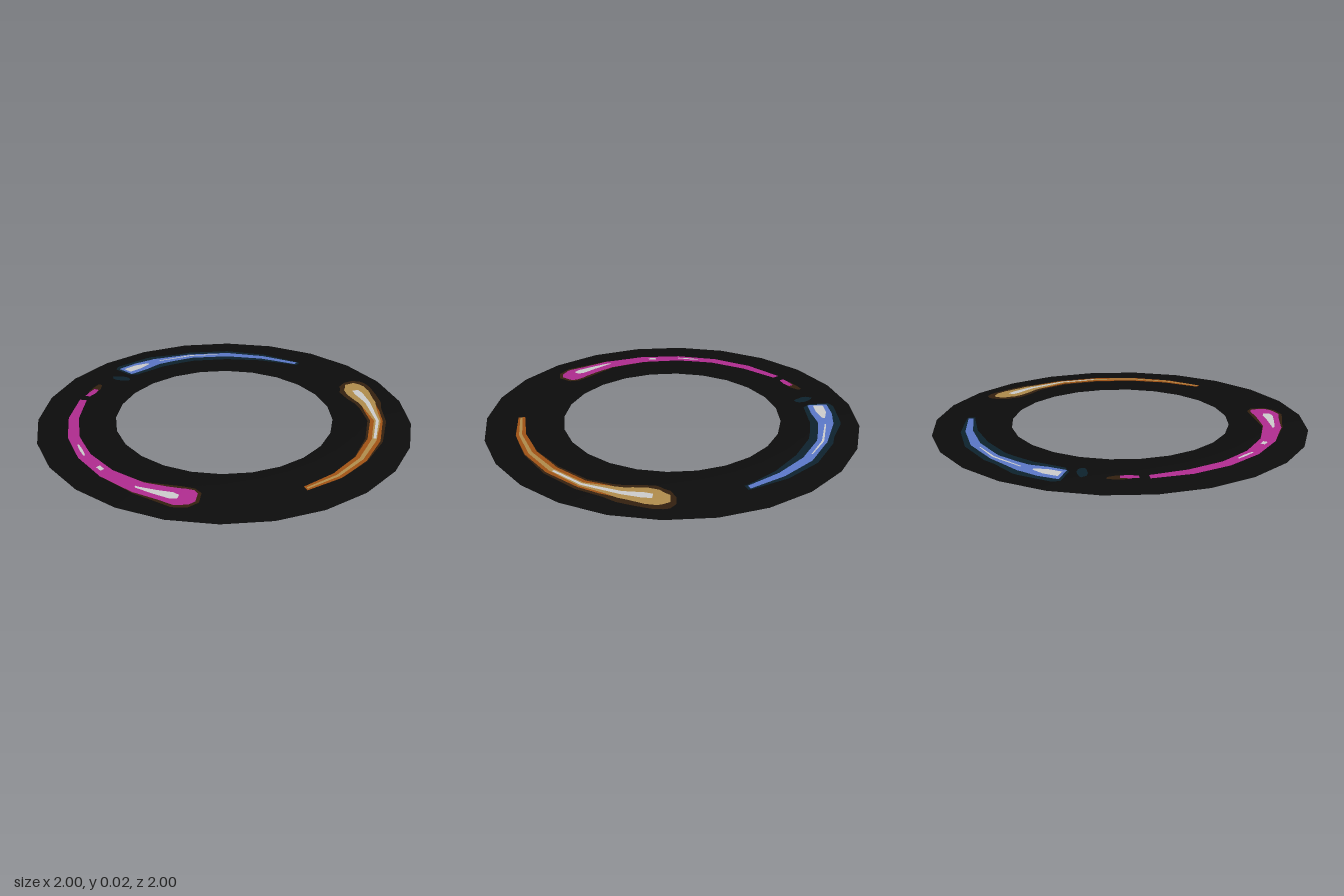
import * as THREE from 'three';

const SIDES = 24;
const STEP = (Math.PI * 2) / SIDES;
// ring cross-section: radius, height
const PROFILE = [[0.58, 0.02], [0.7, 0.018], [0.85, 0.0105], [1, 0]];

function paint(name, color) {
  const m = new THREE.MeshStandardMaterial({ color, side: THREE.DoubleSide });
  m.name = name;
  return m;
}

// linear interpolation through rows of [key, values...]
function sample(rows, t) {
  let i = 0;
  while (i < rows.length - 2 && t > rows[i + 1][0]) i++;
  const [a, b] = [rows[i], rows[i + 1]];
  const k = THREE.MathUtils.clamp((t - a[0]) / (b[0] - a[0]), 0, 1);
  return a.slice(1).map((v, j) => v + (b[j + 1] - v) * k);
}

// point on the faceted ring at an angle (degrees, x towards z) and ring radius
function onRing(deg, r, lift) {
  const a = THREE.MathUtils.degToRad(deg);
  const mid = (Math.floor(a / STEP) + 0.5) * STEP;
  const s = (r * Math.cos(STEP / 2)) / Math.cos(a - mid);
  return [Math.cos(a) * s, sample(PROFILE, r)[0] + lift, Math.sin(a) * s];
}

// painted arc on both faces; rows are [angle, centre radius, half width]
function streak(name, material, layer, rows) {
  const start = rows[0][0], end = rows[rows.length - 1][0];
  const angles = [start];
  for (let d = Math.floor(start) + 1; d < end; d++) angles.push(d);
  angles.push(end);
  const ACROSS = 4, pos = [], idx = [];
  for (const side of [1, -1]) {
    const base = pos.length / 3;
    angles.forEach((d, i) => {
      const [r, w] = sample(rows, d);
      for (let j = 0; j <= ACROSS; j++) {
        pos.push(...onRing(d, r + w * ((2 * j) / ACROSS - 1), side * layer * 0.001));
        if (i && j) {
          const q = base + i * (ACROSS + 1) + j, p = q - ACROSS - 1;
          if (side > 0) idx.push(p - 1, q, p, p - 1, q - 1, q);
          else idx.push(p - 1, p, q, p - 1, q, q - 1);
        }
      }
    });
  }
  // keep the upper sheet facing up and the lower one facing down
  for (let i = 0; i < idx.length; i += 3) [idx[i + 1], idx[i + 2]] = [idx[i + 2], idx[i + 1]];
  const g = new THREE.BufferGeometry();
  g.setAttribute('position', new THREE.Float32BufferAttribute(pos, 3));
  for (let i = 0; i < idx.length; i += 3) {
    const [A, B, C] = [0, 1, 2].map(k => new THREE.Vector3().fromArray(pos, idx[i + k] * 3));
    const up = B.sub(A).cross(C.sub(A)).y > 0;
    const top = idx[i] < pos.length / 6;
    if (up !== top) [idx[i + 1], idx[i + 2]] = [idx[i + 2], idx[i + 1]];
  }
  g.setIndex(idx);
  g.computeVertexNormals();
  const mesh = new THREE.Mesh(g, material);
  mesh.name = name;
  return mesh;
}

export function createModel() {
  const black = paint('black', 0x0c0c0c);
  const blue = paint('blue', 0x5b78c8);
  const teal = paint('dark teal', 0x0d222d);
  const magenta = paint('magenta', 0xb02c90);
  const brown = paint('dark brown', 0x33200f);
  const orange = paint('burnt orange', 0xa05214);
  const tan = paint('tan', 0xb08c4c);
  const pale = paint('pale grey', 0xcccccc);

  const model = new THREE.Group();
  model.name = 'ring';

  // shallow sloping ring
  const body = new THREE.Mesh(
    new THREE.LatheGeometry(PROFILE.map(p => new THREE.Vector2(...p)), SIDES), black);
  body.name = 'ringBody';
  model.add(body);

  // blue streak at the back
  const blueGroup = new THREE.Group();
  blueGroup.name = 'blueStreak';
  blueGroup.add(
    streak('blueGlow', teal, 1, [[223.5, 0.83, 0.055], [226, 0.82, 0.085], [238, 0.82, 0.085],
      [250, 0.81, 0.065], [270, 0.807, 0.062], [285, 0.805, 0.045], [301, 0.81, 0.02]]),
    streak('blueGlowSpot', teal, 1, [[216.5, 0.79, 0.015], [218, 0.78, 0.05], [219.5, 0.76, 0.05], [221, 0.75, 0.015]]),
    streak('blueCore', blue, 2, [[224.5, 0.815, 0.055], [232, 0.82, 0.058], [238, 0.82, 0.045],
      [246, 0.82, 0.034], [256, 0.815, 0.026], [270, 0.812, 0.026], [285, 0.805, 0.02], [300, 0.81, 0.014]]),
    streak('blueHighlight', pale, 4, [[225.5, 0.817, 0.028], [231, 0.82, 0.028], [236, 0.82, 0.008]]),
    streak('blueHighlightLine', pale, 4, [[241, 0.82, 0.004], [254, 0.82, 0.006], [266, 0.815, 0.003]]));

  // magenta streak at the front
  const magentaGroup = new THREE.Group();
  magentaGroup.name = 'magentaStreak';
  magentaGroup.add(
    streak('magentaGlow', brown, 1, [[97, 0.805, 0.04], [100, 0.81, 0.08], [105, 0.81, 0.09],
      [113, 0.81, 0.07], [122, 0.81, 0.05], [140, 0.81, 0.036]]),
    streak('magentaCore', magenta, 2, [[98.3, 0.805, 0.035], [100, 0.807, 0.06], [104, 0.81, 0.073],
      [110, 0.81, 0.06], [118, 0.81, 0.05], [130, 0.81, 0.042], [145, 0.81, 0.036],
      [160, 0.81, 0.031], [180, 0.807, 0.028], [195, 0.81, 0.02]]),
    streak('magentaTailSpot', magenta, 2, [[198.5, 0.81, 0.014], [202, 0.805, 0.02], [205, 0.805, 0.014]]),
    streak('magentaTailGlow', brown, 1, [[202, 0.81, 0.022], [206, 0.81, 0.024], [209.5, 0.815, 0.012]]),
    streak('magentaHighlight', pale, 4, [[104.5, 0.813, 0.016], [107, 0.815, 0.028], [113, 0.818, 0.018], [121, 0.815, 0.006]]),
    streak('magentaHighlightSpot', pale, 4, [[137.5, 0.81, 0.012], [140.5, 0.81, 0.012]]),
    streak('magentaHighlightLine', pale, 4, [[150, 0.81, 0.005], [154, 0.81, 0.008], [158.5, 0.81, 0.005]]));

  // orange streak on the left side
  const orangeGroup = new THREE.Group();
  orangeGroup.name = 'orangeStreak';
  orangeGroup.add(
    streak('orangeGlow', brown, 1, [[326, 0.845, 0.03], [328, 0.835, 0.075], [333, 0.82, 0.1], [340, 0.815, 0.09],
      [350, 0.815, 0.06], [360, 0.817, 0.05], [375, 0.812, 0.046], [390, 0.81, 0.036], [412, 0.81, 0.024]]),
    streak('orangeCore', orange, 2, [[342, 0.81, 0.04], [352, 0.815, 0.042], [360, 0.815, 0.034],
      [380, 0.81, 0.034], [400, 0.81, 0.03], [410, 0.81, 0.024], [419.5, 0.81, 0.018]]),
    streak('orangeHead', tan, 3, [[328, 0.83, 0.03], [332, 0.822, 0.066], [336, 0.817, 0.07], [342, 0.81, 0.055],
      [350, 0.812, 0.035], [360, 0.82, 0.018], [375, 0.812, 0.013], [419, 0.812, 0.006]]),
    streak('orangeHighlight', pale, 4, [[334, 0.815, 0.018], [337, 0.815, 0.024], [345, 0.812, 0.014],
      [360, 0.82, 0.008], [374, 0.815, 0.007]]));

  model.add(blueGroup, magentaGroup, orangeGroup);
  return model;
}
